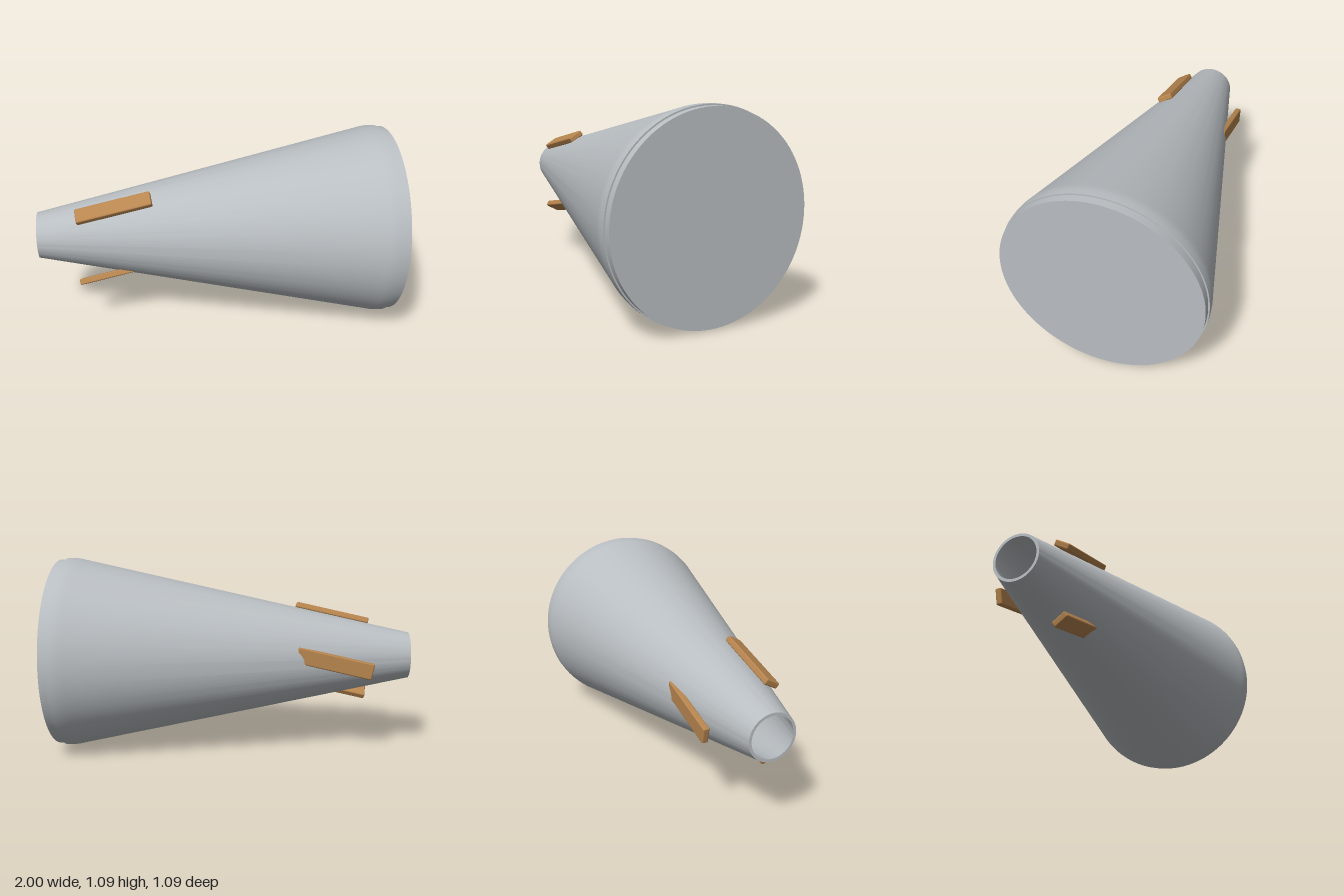
import * as THREE from 'three';
import { toCreasedNormals } from 'three/addons/utils/BufferGeometryUtils.js';
import { RoundedBoxGeometry } from 'three/addons/geometries/RoundedBoxGeometry.js';

const AXIS_Y = 0.545; // height of the cone's axis

export function createModel() {
  const model = new THREE.Group();
  model.name = 'hornMute';

  const metal = new THREE.MeshStandardMaterial({ color: 0xb9bec2 });
  metal.name = 'brushedMetal';
  const cork = new THREE.MeshStandardMaterial({ color: 0xb8864f });
  cork.name = 'cork';

  // Spin a profile of [radius, x] pairs about the x axis, keeping hard edges
  const spin = (name, pairs) => {
    const points = pairs.map(([r, x]) => new THREE.Vector2(r, x));
    const geometry = toCreasedNormals(new THREE.LatheGeometry(points, 96), 0.5);
    geometry.rotateZ(-Math.PI / 2);
    const mesh = new THREE.Mesh(geometry, metal);
    mesh.name = name;
    mesh.position.y = AXIS_Y;
    model.add(mesh);
  };

  // Hollow cone: inner wall, open narrow rim, outer wall, rounded shoulder
  spin('coneShell', [
    [0, 0.9], [0.525, 0.9], [0.115, -1], [0.13, -1],
    [0.535, 0.865], [0.541, 0.89], [0.545, 0.92], [0.545, 0.957], [0.5, 0.957],
  ]);

  // Slightly smaller disc closing the wide end
  spin('endCap', [[0.537, 0.95], [0.537, 1], [0, 1]]);

  // Three cork pads around the neck, all tilted the same way
  const padGeometry = new RoundedBoxGeometry(0.43, 0.035, 0.09, 2, 0.008);
  for (let i = 0; i < 3; i++) {
    const angle = Math.PI / 6 + (i * Math.PI * 2) / 3; // measured from +y towards +z
    const pad = new THREE.Mesh(padGeometry, cork);
    pad.name = 'corkPad' + (i + 1);
    pad.position.set(-0.567, AXIS_Y + 0.2425 * Math.cos(angle), 0.2425 * Math.sin(angle));
    pad.rotation.set(angle, 0, 0.217, 'ZYX');
    model.add(pad);
  }
  return model;
}
